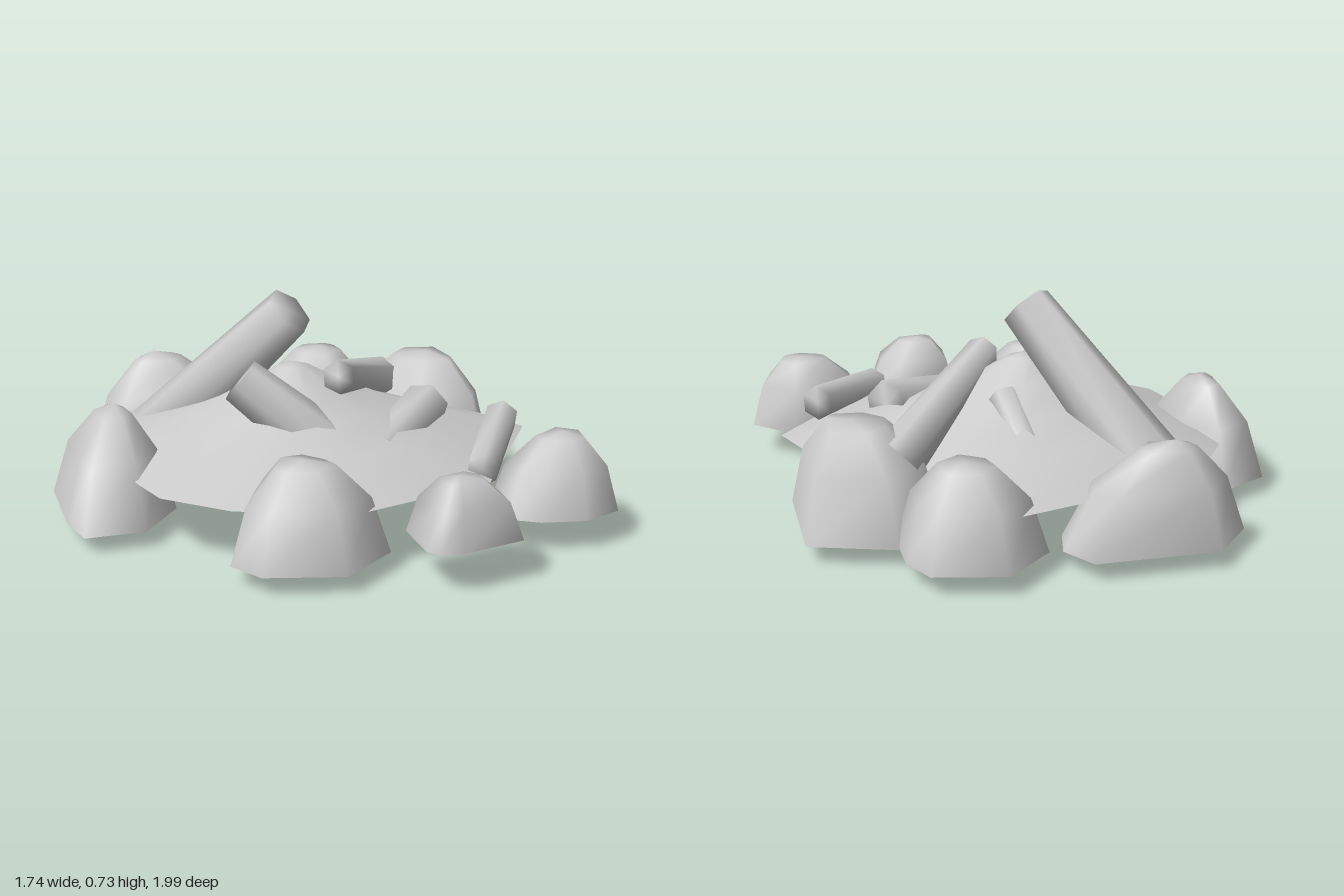
import * as THREE from 'three';
import { mergeVertices } from 'three/addons/utils/BufferGeometryUtils.js';

const material = new THREE.MeshStandardMaterial({ color: 0xcccccc, side: THREE.DoubleSide });

// Open-bottomed shell: the outline shrinks towards a peak along [scale, height] steps
function shell(name, outline, base, peak, profile) {
  const [px, py, pz] = peak;
  const n = outline.length;
  const pos = [], index = [];
  profile.forEach(([s, h]) => outline.forEach(([x, z]) =>
    pos.push(px + (x - px) * s, base + (py - base) * h, pz + (z - pz) * s)));
  pos.push(px, py, pz);
  const tip = profile.length * n;
  profile.forEach((_, r) => {
    for (let i = 0; i < n; i++) {
      const a = r * n + i, b = r * n + (i + 1) % n;
      if (r === profile.length - 1) index.push(a, tip, b);
      else index.push(a, a + n, b, b, a + n, b + n);
    }
  });
  const g = new THREE.BufferGeometry();
  g.setAttribute('position', new THREE.Float32BufferAttribute(pos, 3));
  g.setIndex(index);
  g.computeVertexNormals();
  const mesh = new THREE.Mesh(g, material);
  mesh.name = name;
  return mesh;
}

// Tapered six-sided log between two points, shaded smoothly over its ends
function log(name, from, to, rFrom, rTo) {
  const a = new THREE.Vector3(...from), b = new THREE.Vector3(...to);
  const cylinder = new THREE.CylinderGeometry(rFrom, rTo, a.distanceTo(b), 6);
  cylinder.deleteAttribute('normal');
  cylinder.deleteAttribute('uv');
  const g = mergeVertices(cylinder, 1e-4);
  g.computeVertexNormals();
  const mesh = new THREE.Mesh(g, material);
  mesh.position.copy(a).add(b).multiplyScalar(0.5);
  mesh.quaternion.setFromUnitVectors(new THREE.Vector3(0, 1, 0), a.sub(b).normalize());
  mesh.name = name;
  return mesh;
}

export function createModel() {
  const group = new THREE.Group();
  group.name = 'campfire';

  // Ash mound with a jagged rim
  group.add(shell('ashMound',
    [[-0.5, -0.63], [-0.14, -0.79], [0.47, -0.62], [0.57, -0.3], [0.6, 0], [0.59, 0.25], [0.55, 0.46],
      [-0.02, 0.66], [-0.5, 0.47], [-0.7, 0.15], [-0.75, -0.1], [-0.7, -0.24]],
    0.21, [-0.07, 0.5, -0.1],
    [[1, 0], [0.65, 0.29], [0.4, 0.51], [0.2, 0.75], [0.07, 0.95]]));

  // Ring of hollow stones: base outline (x, z), base height, peak, profile
  const blunt = [[1, 0], [0.78, 0.61], [0.38, 0.96]];
  const pointed = [[1, 0], [0.73, 0.57], [0.3, 0.92]];
  const stones = [
    ['backStone', [[-0.21, -0.94], [-0.02, -1], [0.33, -0.79], [0.33, -0.66], [0.24, -0.57], [0.07, -0.53],
      [-0.22, -0.8]], 0.065, [0.02, 0.395, -0.83], pointed],
    ['backLeftStone', [[0.37, -0.64], [0.58, -0.68], [0.75, -0.52], [0.74, -0.4], [0.65, -0.25], [0.4, -0.24],
      [0.31, -0.45]], 0.07, [0.55, 0.36, -0.45], blunt],
    ['leftStone', [[0.46, -0.28], [0.68, -0.3], [0.87, -0.08], [0.67, 0.25], [0.57, 0.29], [0.36, 0.14],
      [0.31, -0.08]], 0.065, [0.62, 0.4, 0], blunt],
    ['frontLeftStone', [[-0.04, 0.74], [0.02, 0.63], [0.34, 0.66], [0.39, 0.85], [0.24, 0.99], [0.1, 0.95],
      [0, 0.84]], 0.11, [0.21, 0.35, 0.79], blunt],
    ['frontRightStone', [[-0.47, 0.71], [-0.37, 0.57], [-0.15, 0.66], [-0.13, 0.79], [-0.22, 0.9],
      [-0.42, 0.81], [-0.47, 0.76]], 0.14, [-0.31, 0.335, 0.72], blunt],
    ['rightStone', [[-0.78, 0.33], [-0.77, 0.2], [-0.52, 0.07], [-0.37, 0.17], [-0.35, 0.38], [-0.39, 0.53],
      [-0.62, 0.53]], 0.065, [-0.53, 0.36, 0.29], blunt],
    ['backRightStone', [[-0.63, -0.71], [-0.43, -0.7], [-0.39, -0.5], [-0.5, -0.26], [-0.71, -0.2],
      [-0.87, -0.32], [-0.81, -0.46]], 0.06, [-0.55, 0.4, -0.48], pointed],
  ];
  for (const spec of stones) group.add(shell(...spec));

  // Logs, upper end first, half sunk in the mound
  const logs = [
    ['tallLog', [-0.055, 0.67, -0.12], [-0.165, 0.1, -0.7], 0.09, 0.135],
    ['shortLog', [-0.325, 0.49, -0.12], [-0.08, 0.12, 0.28], 0.08, 0.115],
    ['longLog', [-0.05, 0.47, 0.08], [0.56, 0.27, -0.15], 0.058, 0.09],
    ['sunkenLog', [0.09, 0.385, -0.16], [0.24, 0.215, -0.48], 0.055, 0.055],
    ['stubLog', [0.28, 0.315, 0.22], [-0.1, 0.245, 0.29], 0.085, 0.08],
    ['frontLog', [0.39, 0.29, 0.46], [0, 0.24, 0.62], 0.06, 0.055],
  ];
  for (const spec of logs) group.add(log(...spec));
  return group;
}
